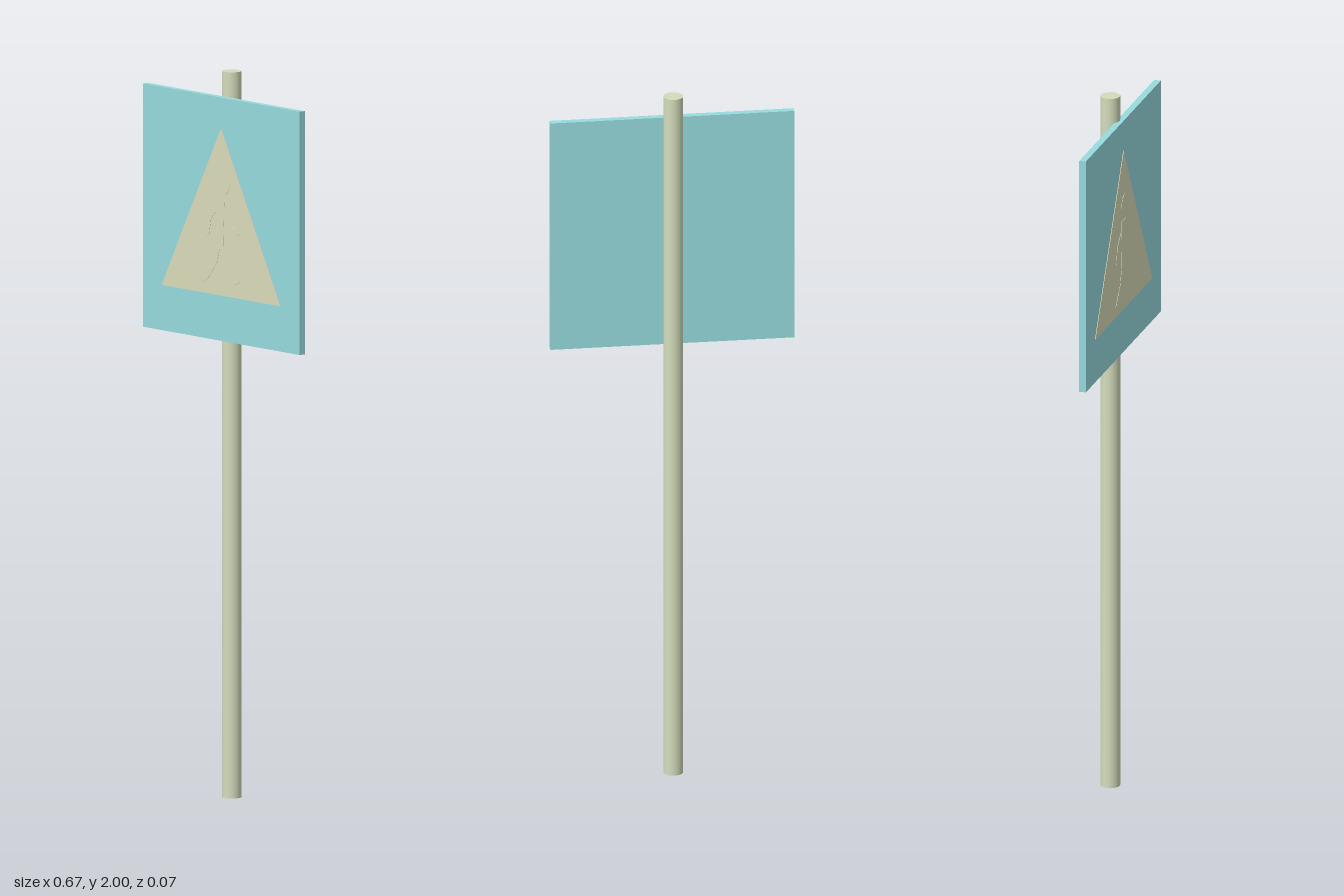
import * as THREE from 'three';

const material = (color) => new THREE.MeshStandardMaterial({ color });

function addPart(parent, name, geometry, mat, x = 0, y = 0, z = 0) {
  const mesh = new THREE.Mesh(geometry, mat);
  mesh.name = name;
  mesh.position.set(x, y, z);
  parent.add(mesh);
  return mesh;
}

// Thin raised plate cut from an outline of [x, y] points
function plate(points, depth) {
  const shape = new THREE.Shape(points.map(([x, y]) => new THREE.Vector2(x, y)));
  return new THREE.ExtrudeGeometry(shape, { depth, bevelEnabled: false });
}

export function createModel() {
  const group = new THREE.Group();
  const cream = material(0xdbdcba);

  // Round post
  addPart(group, 'post', new THREE.CylinderGeometry(0.027, 0.027, 2, 32), material(0xd3dcbc), 0, 1, -0.008);

  // Square sign board
  addPart(group, 'board', new THREE.BoxGeometry(0.67, 0.67, 0.019), material(0x97dbde), 0, 1.595, 0.0195);

  // Triangle on the front of the board
  addPart(group, 'triangle', plate([[-0.254, 1.385], [0.254, 1.385], [0, 1.845]], 0.0015), cream, 0, 0, 0.029);

  // Walking figure, slightly raised from the triangle
  const figure = new THREE.Group();
  figure.name = 'walkingFigure';
  group.add(figure);
  const z = 0.0302;
  const depth = 0.0013;

  const head = new THREE.CylinderGeometry(0.028, 0.028, depth, 24).rotateX(Math.PI / 2);
  addPart(figure, 'head', head, cream, 0.008, 1.69, z + depth / 2);
  addPart(figure, 'torso', plate([[-0.025, 1.515], [0.01, 1.515], [0.015, 1.645], [-0.02, 1.645]], depth), cream, 0, 0, z);

  // Limbs as bars along a bent path
  const limbs = {
    frontArm: [[0.0, 1.632], [0.035, 1.58], [0.075, 1.56]],
    backArm: [[-0.005, 1.632], [-0.05, 1.59], [-0.06, 1.54]],
    frontLeg: [[-0.005, 1.525], [0.03, 1.48], [0.07, 1.425]],
    backLeg: [[-0.01, 1.525], [-0.025, 1.47], [-0.065, 1.42]],
  };
  for (const [name, path] of Object.entries(limbs)) {
    const w = 0.009;
    const left = path.map(([x, y]) => [x - w, y - w * 0.5]);
    const right = path.map(([x, y]) => [x + w, y + w * 0.5]).reverse();
    addPart(figure, name, plate([...left, ...right], depth), cream, 0, 0, z);
  }
  return group;
}
